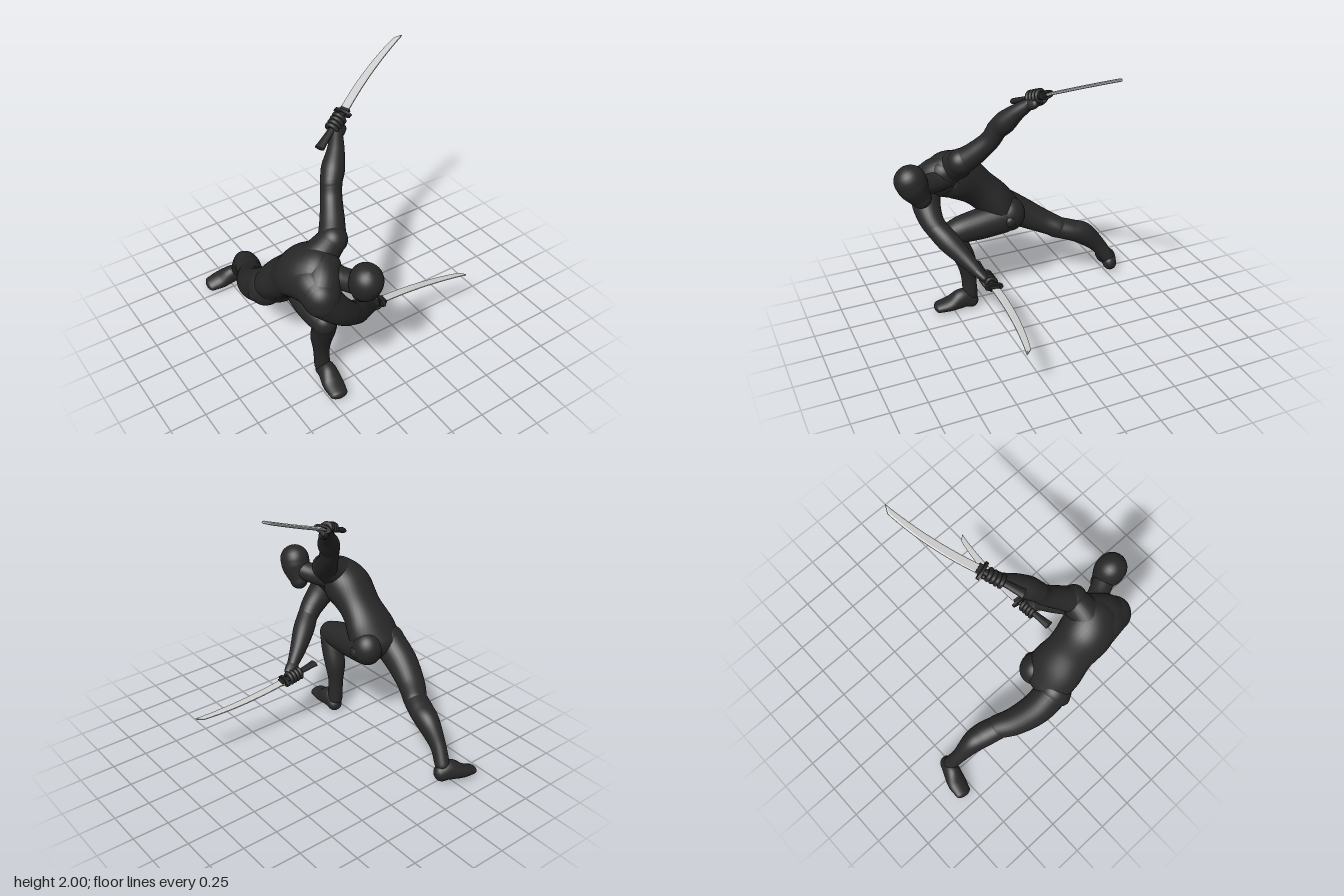
import * as THREE from 'three';

const V = (a) => new THREE.Vector3(a[0], a[1], a[2]);
const mat = (name, color) => {
  const m = new THREE.MeshStandardMaterial({ color });
  m.name = name;
  return m;
};

// Smooth tube through points [x, y, z, a, b]: a is the radius along the side vector,
// b across it. The side vector turns from s0 to s1 and both ends are rounded.
function loft(points, s0 = [1, 0, 0], s1 = s0, sides = 28, cap = 1) {
  const path = new THREE.CatmullRomCurve3(points.map(V), false, 'catmullrom');
  const radii = new THREE.CatmullRomCurve3(
    points.map((p) => new THREE.Vector3(p[3], p[4] ?? p[3], 0)), false, 'catmullrom');
  const rings = [], steps = (points.length - 1) * 8, capSteps = 7;
  const ring = (t, scale, push) => {
    const r = radii.getPoint(t), tan = path.getTangent(t);
    const s = V(s0).lerp(V(s1), t);
    s.addScaledVector(tan, -s.dot(tan)).normalize();
    const n = tan.clone().cross(s);
    const c = path.getPoint(t).addScaledVector(tan, push * Math.min(r.x, r.y) * cap);
    rings.push({ c, s, n, a: r.x * scale, b: r.y * scale });
  };
  for (let i = 0; i < capSteps; i++) {
    const f = (i / capSteps) * Math.PI / 2;
    ring(0, Math.sin(f), -Math.cos(f));
  }
  for (let i = 0; i <= steps; i++) ring(i / steps, 1, 0);
  for (let i = capSteps - 1; i >= 0; i--) {
    const f = (i / capSteps) * Math.PI / 2;
    ring(1, Math.sin(f), Math.cos(f));
  }
  const pos = [], idx = [];
  rings.forEach(({ c, s, n, a, b }, i) => {
    for (let j = 0; j < sides; j++) {
      const f = (j / sides) * Math.PI * 2;
      const p = c.clone().addScaledVector(s, a * Math.cos(f)).addScaledVector(n, b * Math.sin(f));
      pos.push(p.x, p.y, p.z);
      if (i === rings.length - 1) continue;
      const k = (j + 1) % sides, u = i * sides, v = u + sides;
      idx.push(u + j, u + k, v + k, u + j, v + k, v + j);
    }
  });
  const g = new THREE.BufferGeometry();
  g.setAttribute('position', new THREE.Float32BufferAttribute(pos, 3));
  g.setIndex(idx);
  g.computeVertexNormals();
  return g;
}

export function createModel() {
  const model = new THREE.Group();
  const body = mat('charcoal body', 0x282828);
  const grip = mat('dark grip', 0x252525);
  const steel = mat('steel', 0xcccccc);

  const add = (name, geometry, material = body, parent = model) => {
    const m = new THREE.Mesh(geometry, material);
    m.name = name;
    parent.add(m);
    return m;
  };
  const ball = (name, p, rx, ry = rx, rz = rx) => {
    const m = add(name, new THREE.SphereGeometry(1, 28, 20));
    m.position.set(...p);
    m.scale.set(rx, ry, rz);
    return m;
  };

  // Torso, twisted from hips to shoulders
  add('torso', loft([
    [-0.545, 0.67, 0.06, 0.19, 0.135],
    [-0.55, 0.78, 0.14, 0.188, 0.135],
    [-0.55, 0.89, 0.25, 0.168, 0.135],
    [-0.545, 1.0, 0.38, 0.185, 0.165],
    [-0.515, 1.065, 0.48, 0.175, 0.145],
    [-0.48, 1.07, 0.54, 0.12, 0.1],
  ], [0.96, 0, 0.2], [0.6, 0.56, -0.56], 36, 0.8));
  // Shoulder blade and collar masses that join the arms to the torso
  add('rightShoulderBlade', loft([
    [-0.57, 0.92, 0.32, 0.125], [-0.57, 0.985, 0.42, 0.143],
    [-0.565, 1.01, 0.51, 0.143], [-0.565, 0.99, 0.59, 0.13],
  ]));
  add('rightCollar', loft([
    [-0.49, 1.09, 0.48, 0.115], [-0.525, 1.05, 0.55, 0.12], [-0.56, 1.0, 0.59, 0.122],
  ], [0, 0, 1]));
  add('leftCollar', loft([
    [-0.52, 1.07, 0.43, 0.13], [-0.45, 1.13, 0.43, 0.11], [-0.37, 1.185, 0.42, 0.092],
  ], [0, 0, 1]));
  add('neck', loft([
    [-0.49, 1.06, 0.48, 0.1], [-0.43, 1.045, 0.59, 0.073], [-0.37, 1.06, 0.72, 0.072],
  ]));
  add('head', loft([
    [-0.36, 1.128, 0.78, 0.103, 0.109],
    [-0.356, 1.065, 0.755, 0.099, 0.102],
    [-0.347, 0.98, 0.71, 0.062, 0.068],
  ], [1, 0, 0], [1, 0, 0], 32));

  // Hips
  ball('leftHip', [-0.445, 0.675, 0.045], 0.11, 0.125, 0.115);
  ball('rightHip', [-0.635, 0.66, 0.035], 0.125, 0.135, 0.12);
  ball('leftHipKnob', [-0.36, 0.66, 0.07], 0.035, 0.045, 0.045);
  ball('rightHipKnob', [-0.735, 0.64, 0.04], 0.03, 0.045, 0.045);

  // Front (left) leg: bent knee, upright shin
  add('leftThigh', loft([
    [-0.44, 0.66, 0.09, 0.1, 0.115],
    [-0.46, 0.637, 0.25, 0.108, 0.113],
    [-0.467, 0.62, 0.39, 0.1, 0.1],
    [-0.465, 0.605, 0.475, 0.085, 0.086],
  ]));
  add('leftShin', loft([
    [-0.465, 0.61, 0.48, 0.082, 0.08],
    [-0.445, 0.5, 0.435, 0.08, 0.08],
    [-0.435, 0.38, 0.39, 0.075, 0.072],
    [-0.43, 0.25, 0.375, 0.056, 0.054],
    [-0.423, 0.1, 0.37, 0.053, 0.054],
  ]));
  add('leftFoot', loft([
    [-0.414, 0.052, 0.368, 0.055, 0.052],
    [-0.421, 0.078, 0.43, 0.062, 0.076],
    [-0.434, 0.049, 0.52, 0.072, 0.049],
    [-0.444, 0.035, 0.605, 0.062, 0.035],
  ]));

  // Rear (right) leg, stretched back
  add('rightThigh', loft([
    [-0.64, 0.655, 0.02, 0.115, 0.122],
    [-0.635, 0.565, -0.12, 0.112, 0.11],
    [-0.59, 0.48, -0.27, 0.098, 0.09],
    [-0.53, 0.43, -0.38, 0.084, 0.078],
  ]));
  add('rightShin', loft([
    [-0.54, 0.43, -0.36, 0.083, 0.078],
    [-0.5, 0.395, -0.48, 0.088, 0.078],
    [-0.48, 0.355, -0.57, 0.078, 0.084],
    [-0.468, 0.24, -0.685, 0.053, 0.06],
    [-0.447, 0.13, -0.76, 0.05, 0.052],
  ]));
  add('rightFoot', loft([
    [-0.425, 0.08, -0.775, 0.052, 0.06],
    [-0.485, 0.09, -0.79, 0.06, 0.072],
    [-0.57, 0.057, -0.815, 0.07, 0.05],
    [-0.65, 0.038, -0.828, 0.06, 0.034],
  ], [0.2, 0.3, -0.9]));

  // Lowered (right) arm crossing the front
  ball('rightShoulder', [-0.57, 0.98, 0.605], 0.122, 0.13, 0.128);
  add('rightUpperArm', loft([
    [-0.57, 0.96, 0.62, 0.115],
    [-0.485, 0.855, 0.64, 0.097],
    [-0.405, 0.775, 0.635, 0.083],
    [-0.345, 0.72, 0.61, 0.073],
  ]));
  add('rightForearm', loft([
    [-0.35, 0.725, 0.615, 0.074],
    [-0.27, 0.655, 0.56, 0.077],
    [-0.17, 0.57, 0.49, 0.06],
    [-0.08, 0.5, 0.435, 0.042],
  ]));

  // Raised (left) arm
  ball('leftShoulder', [-0.36, 1.195, 0.42], 0.09, 0.092, 0.095);
  add('leftUpperArm', loft([
    [-0.36, 1.195, 0.41, 0.088],
    [-0.31, 1.265, 0.335, 0.078],
    [-0.26, 1.36, 0.25, 0.068],
    [-0.23, 1.45, 0.205, 0.068],
  ]));
  add('leftForearm', loft([
    [-0.235, 1.44, 0.21, 0.068],
    [-0.19, 1.505, 0.165, 0.074],
    [-0.135, 1.58, 0.11, 0.056],
    [-0.085, 1.645, 0.045, 0.04],
  ]));

  // Sword held in a closed hand; edge is the side the blade bows towards
  function swordInHand(name, pommel, guard, tip, edge, wrist) {
    const g = new THREE.Group();
    g.name = name;
    model.add(g);
    const G = V(guard), P = V(pommel), W = V(wrist);
    const X = V(tip).sub(G), L = X.length();
    X.normalize();
    const Y = V(edge);
    Y.addScaledVector(X, -Y.dot(X)).normalize();
    const Z = X.clone().cross(Y);
    const frame = new THREE.Group();
    frame.name = name + 'Blade';
    frame.position.copy(G);
    frame.quaternion.setFromRotationMatrix(new THREE.Matrix4().makeBasis(X, Y, Z));
    g.add(frame);

    // Curved blade with a slanted point and ground edges
    const s = new THREE.Shape();
    s.moveTo(0, -0.03);
    s.quadraticCurveTo(L * 0.5, 0.028, L, 0);
    s.lineTo(L * 0.94, 0.04);
    s.quadraticCurveTo(L * 0.5, 0.085, 0, 0.03);
    const blade = new THREE.ExtrudeGeometry(s, {
      depth: 0.008, bevelThickness: 0.005, bevelSize: 0.008, bevelOffset: -0.008,
      bevelSegments: 1, curveSegments: 24,
    });
    add('blade', blade.translate(0, 0, -0.004), steel, frame);

    // Oval guard and collar
    const oval = new THREE.CylinderGeometry(1, 1, 0.02, 28).rotateZ(Math.PI / 2);
    add('guard', oval.scale(1, 0.064, 0.028), grip, frame);
    add('bladeCollar', new THREE.BoxGeometry(0.04, 0.064, 0.024).translate(0.015, 0, 0), grip, frame);

    // Handle, flaring at the pommel
    const at = (t, a, b) => [...P.clone().lerp(G, t).toArray(), a, b];
    add('handle', loft([at(0, 0.034, 0.019), at(0.15, 0.029, 0.018), at(0.5, 0.023, 0.016),
      at(1, 0.024, 0.018)], Y.toArray(), Y.toArray(), 16, 0.2), grip, g);

    // Palm and thumb
    const axis = G.clone().sub(P).normalize();
    const mid = P.clone().lerp(G, 0.7);
    const out = W.clone().sub(mid);
    out.addScaledVector(axis, -out.dot(axis)).normalize();
    const across = axis.clone().cross(out);
    const palm = mid.clone().addScaledVector(out, 0.03);
    add('palm', loft([[...W.toArray(), 0.042, 0.036],
      [...W.clone().lerp(palm, 0.55).toArray(), 0.05, 0.034],
      [...palm.toArray(), 0.052, 0.03]], axis.toArray()), body, g);
    const thumb = [[-0.01, 0.04, 0.03], [0.04, 0.03, 0.034], [0.065, 0, 0.032], [0.065, -0.02, 0.022]]
      .map(([a, o, c]) => [...mid.clone().addScaledVector(axis, a).addScaledVector(out, o)
        .addScaledVector(across, c).toArray(), 0.014]);
    add('thumb', loft(thumb, out.toArray(), out.toArray(), 12), body, g);

    // Four fingers curled round the handle
    for (let i = 0; i < 4; i++) {
      const c = mid.clone().addScaledVector(axis, -0.046 + i * 0.029);
      const pts = [];
      for (let k = 0; k <= 5; k++) {
        const f = -0.5 + (k / 5) * 4.6;
        pts.push([...c.clone().addScaledVector(out, 0.038 * Math.cos(f))
          .addScaledVector(across, -0.033 * Math.sin(f)).toArray(), 0.0145]);
      }
      add('finger', loft(pts, axis.toArray(), axis.toArray(), 12), body, g);
    }
  }
  swordInHand('raisedSword', [-0.235, 1.62, 0.085], [0.01, 1.73, -0.03], [0.61, 2.0, -0.24],
    [-0.28, 0.0, -0.95], [-0.085, 1.645, 0.045]);
  swordInHand('loweredSword', [-0.235, 0.465, 0.385], [0.05, 0.432, 0.365], [0.755, 0.365, 0.43],
    [0, -0.05, -1], [-0.08, 0.5, 0.435]);

  return model;
}
